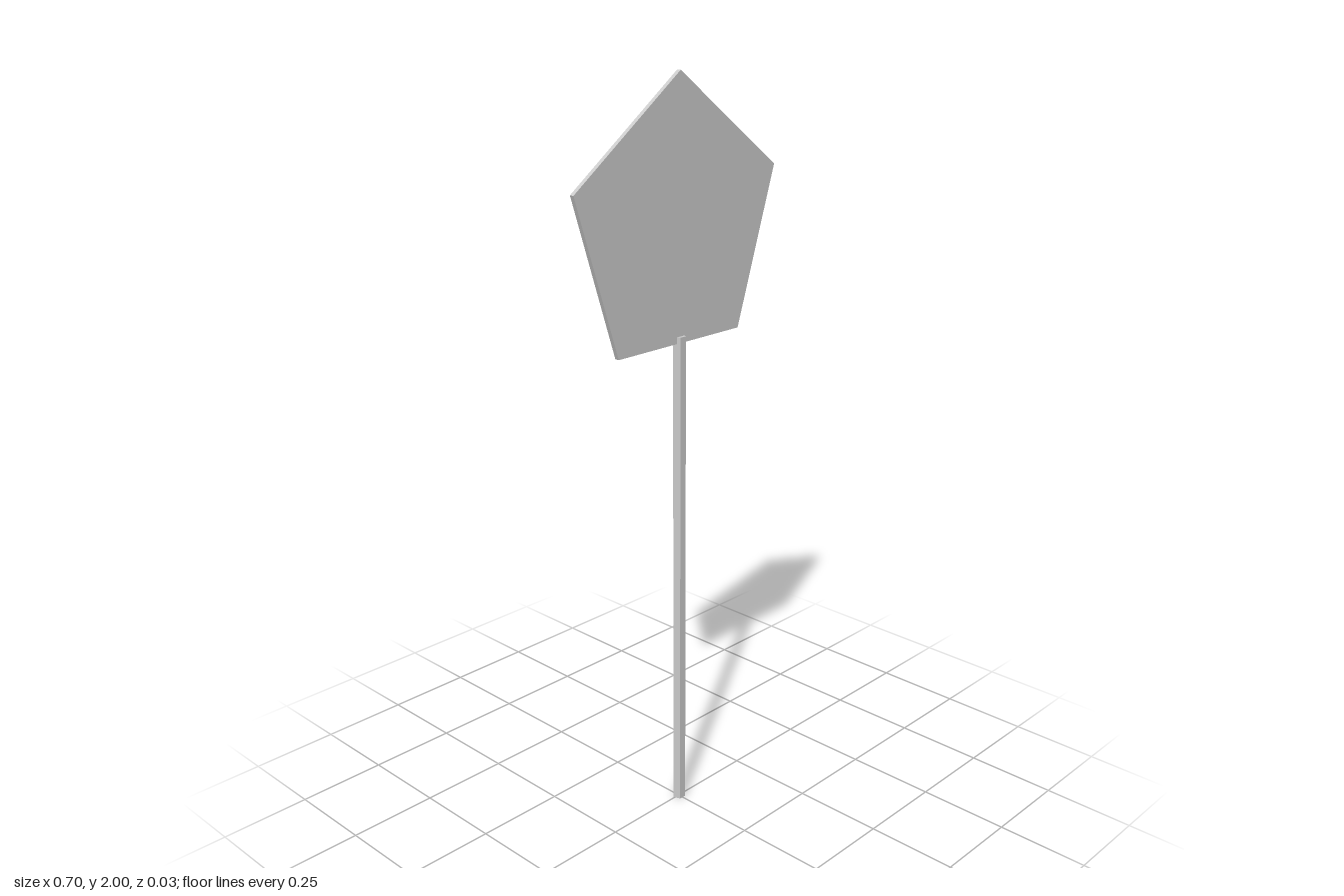
import * as THREE from 'three';

export function createModel() {
  const group = new THREE.Group();
  const material = new THREE.MeshStandardMaterial({ color: 0xcccccc, flatShading: true });

  // Five-sided prism along y, with one corner pointing to +z
  const prism = (radius, length) => new THREE.CylinderGeometry(radius, radius, length, 5);

  const add = (name, geometry, y, z) => {
    const mesh = new THREE.Mesh(geometry, material);
    mesh.name = name;
    mesh.position.set(0, y, z);
    group.add(mesh);
  };

  // Pole: corner to the back, flat side to the front
  const poleTop = 1.35;
  add('pole', prism(0.0175, poleTop).rotateY(Math.PI), poleTop / 2, 0.0017);

  // Sign plate: thin upright pentagon, corner up
  const plateRadius = 0.369;
  add('signPlate', prism(plateRadius, 0.012).rotateX(-Math.PI / 2), 2 - plateRadius, 0.001);

  return group;
}
